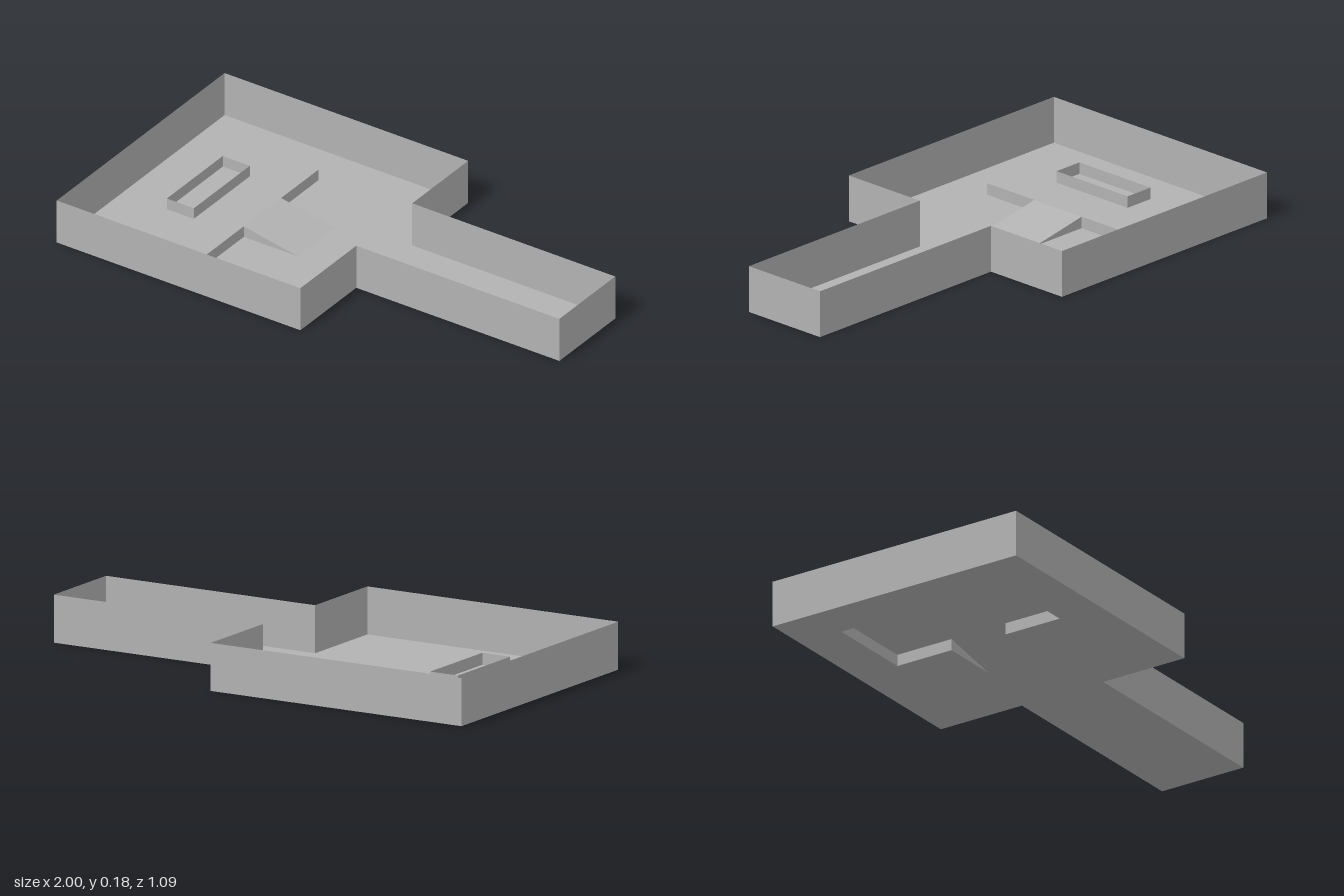
import * as THREE from 'three';

const U = 2 / 11; // layout module: the plan is 11 modules long

const grey = new THREE.MeshStandardMaterial({ color: 0xb2b2b2, side: THREE.DoubleSide });
grey.name = 'plain grey';

function addMesh(parent, name, geometry) {
  const mesh = new THREE.Mesh(geometry, grey);
  mesh.name = name;
  parent.add(mesh);
}

// Thin upright faces along a path of [x, z, topHeight] points, starting at height y0
function standingStrip(points, y0, closed) {
  const pos = [];
  const n = points.length;
  for (let i = 0; i < (closed ? n : n - 1); i++) {
    const [ax, az, ah] = points[i];
    const [bx, bz, bh] = points[(i + 1) % n];
    if (bh > y0) pos.push(ax, y0, az, bx, y0, bz, bx, bh, bz);
    if (ah > y0) pos.push(ax, y0, az, bx, bh, bz, ax, ah, az);
  }
  const g = new THREE.BufferGeometry();
  g.setAttribute('position', new THREE.Float32BufferAttribute(pos, 3));
  g.computeVertexNormals();
  return g;
}

const toShape = (pts) => new THREE.Shape(pts.map(([x, z]) => new THREE.Vector2(x, -z)));
const flat = (shape, y) => new THREE.ShapeGeometry(shape).rotateX(-Math.PI / 2).translate(0, y, 0);

// Counter-clockwise rectangle seen from above
const rect = (x0, x1, z, h) => [[x0, z, h], [x1, z, h], [x1, -z, h], [x0, -z, h]];

export function createModel() {
  const model = new THREE.Group();
  model.name = 'walledRoom';

  // Plan of the square room and its corridor
  const wallH = U, roomEnd = -1 + 6 * U, roomZ = 3 * U, hallZ = U;
  const half = [[-1, roomZ], [roomEnd, roomZ], [roomEnd, hallZ], [1, hallZ]];
  const plan = [...half, ...half.map(([x, z]) => [x, -z]).reverse()];

  // Raised platform with a ramp
  const h = U / 4, x0 = -1 + U, x1 = -1 + 3 * U, pz = 2 * U;
  const rampZ = U * 2 / 3, rampEnd = x1 + U * 4 / 3;
  const side = [[x0, pz, h], [x1, pz, h], [x1, rampZ, h], [rampEnd, rampZ, 0]];
  const mirrored = side.map(([x, z, y]) => [x, -z, y]);
  const riserPath = [...side.slice().reverse(), ...mirrored];

  // Floor, open below the platform and ramp
  const floor = toShape(plan);
  floor.holes.push(toShape(riserPath));
  addMesh(model, 'floor', flat(floor, 0));
  addMesh(model, 'outerWalls', standingStrip(plan.map(([x, z]) => [x, z, wallH]), 0, true));

  addMesh(model, 'platformTop', flat(toShape(rect(x0, x1, pz, h)), h));
  addMesh(model, 'platformSides', standingStrip(riserPath, 0, false));

  // Sloping ramp face
  const ramp = new THREE.PlaneGeometry(rampEnd - x1, 2 * rampZ).rotateX(-Math.PI / 2);
  const p = ramp.attributes.position;
  for (let i = 0; i < p.count; i++) p.setY(i, p.getX(i) < 0 ? h : 0);
  ramp.translate((x1 + rampEnd) / 2, 0, 0);
  ramp.computeVertexNormals();
  addMesh(model, 'ramp', ramp);

  // Low open box standing on the platform
  const bx = x0 + U / 3;
  addMesh(model, 'altarWalls', standingStrip(rect(bx, bx + U * 2 / 3, U, 2 * h), h, true));

  return model;
}
